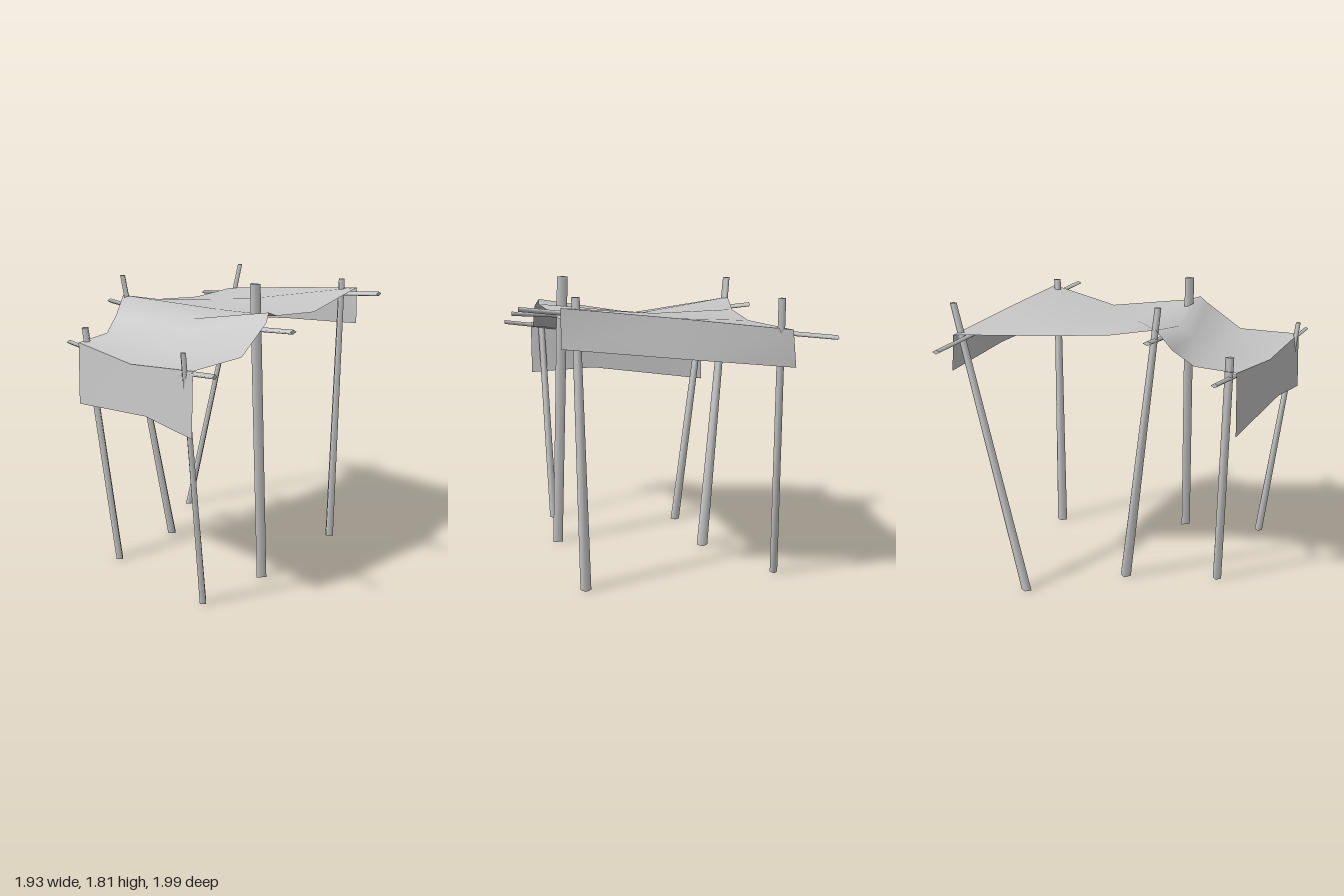
import * as THREE from 'three';

const grey = new THREE.MeshStandardMaterial({ color: 0xcccccc });
grey.name = 'weathered grey';
const cloth = new THREE.MeshStandardMaterial({ color: 0xc8c8c8, side: THREE.DoubleSide });
cloth.name = 'canvas grey';

function buildGeometry(positions, index) {
  const g = new THREE.BufferGeometry();
  g.setAttribute('position', new THREE.Float32BufferAttribute(positions, 3));
  g.setIndex(index);
  g.computeVertexNormals();
  return g;
}

// Few-sided tapered stick along a path; rings lie in the xz plane (upright) or the xy plane.
// Each path entry is [x, y, z, halfWidth, halfDepth].
function stick(name, path, upright, sides = 4, turn = 0) {
  const pos = [], idx = [];
  const ring = ([x, y, z, a, b]) => {
    for (let i = 0; i < sides; i++) {
      const t = turn + (i / sides) * Math.PI * 2;
      const u = a * Math.cos(t), v = b * Math.sin(t);
      pos.push(x + u, upright ? y : y + v, upright ? z - v : z);
    }
  };
  path.forEach(ring);
  for (let r = 0; r < path.length - 1; r++) {
    for (let i = 0; i < sides; i++) {
      const a = r * sides + i, b = r * sides + (i + 1) % sides;
      idx.push(a, b, b + sides, a, b + sides, a + sides);
    }
  }
  // Separate end caps keep the rims crisp
  const base = path.length * sides;
  ring(path[0]);
  ring(path[path.length - 1]);
  for (let i = 1; i < sides - 1; i++) {
    idx.push(base, base + i + 1, base + i);
    idx.push(base + sides, base + sides + i, base + sides + i + 1);
  }
  const mesh = new THREE.Mesh(buildGeometry(pos, idx), grey);
  mesh.name = name;
  return mesh;
}

// Cloth sheet through rows of points
function sheet(name, rows) {
  const n = rows[0].length, idx = [];
  for (let r = 0; r < rows.length - 1; r++) {
    for (let c = 0; c < n - 1; c++) {
      const a = r * n + c, b = a + n;
      idx.push(a, b + 1, b, a, a + 1, b + 1);
    }
  }
  const mesh = new THREE.Mesh(buildGeometry(rows.flat(2), idx), cloth);
  mesh.name = name;
  return mesh;
}

export function createModel() {
  const model = new THREE.Group();
  model.name = 'canvasShelter';

  // Leaning posts, foot to tip
  const posts = {
    rightFrontPost: [[-0.725, 0, 0.66, 0.026, 0.026], [-0.935, 1.51, 0.73, 0.016, 0.022]],
    rightBackPost: [[-0.62, 0, -0.23, 0.027, 0.03], [-0.705, 1.5, -0.42, 0.026, 0.022]],
    middleBackPost: [[-0.045, 0, -0.36, 0.034, 0.036], [-0.3, 1.79, -0.535, 0.02, 0.022]],
    leftFrontPost: [[0.7, 0, 0.44, 0.035, 0.033], [0.713, 1.77, 0.475, 0.024, 0.024]],
    leftBackPost: [[0.485, 0, -0.75, 0.033, 0.024], [0.937, 1.78, -0.665, 0.023, 0.021]],
  };
  for (const [name, path] of Object.entries(posts)) model.add(stick(name, path, true));
  model.add(stick('middleFrontPost',
    [[-0.19, 0, 0.62, 0.035, 0.037], [-0.207, 1.81, 0.557, 0.036, 0.04]], true, 3, Math.PI));

  // Cross poles carrying the cloth, front to back
  const poles = {
    rightPole: [[-0.953, 1.42, 0.99, 0.017, 0.014], [-0.8, 1.345, 0.15, 0.02, 0.015], [-0.665, 1.38, -0.64, 0.022, 0.014]],
    middlePole: [[-0.24, 1.565, 0.895, 0.026, 0.014], [-0.26, 1.53, 0.1, 0.027, 0.015], [-0.282, 1.61, -0.69, 0.028, 0.014]],
    leftPole: [[0.68, 1.7, 0.8, 0.024, 0.014], [0.785, 1.625, -0.1, 0.025, 0.014], [0.89, 1.55, -1, 0.026, 0.013]],
  };
  for (const [name, path] of Object.entries(poles)) {
    model.add(stick(name, path.slice().reverse(), false));
  }

  // Roof cloth: back, middle and front rows
  const back = [[-0.75, 1.41, -0.43], [-0.5, 1.44, -0.46], [-0.38, 1.54, -0.51], [-0.29, 1.66, -0.545],
    [0, 1.61, -0.53], [0.4, 1.59, -0.57], [0.91, 1.6, -0.74]];
  const middle = [[-0.84, 1.365, 0.18], [-0.52, 1.41, 0.15], [-0.35, 1.5, 0.1], [-0.26, 1.565, 0.1],
    [0, 1.595, 0.05], [0.33, 1.63, 0], [0.84, 1.66, -0.1]];
  const front = [[-0.93, 1.42, 0.8], [-0.53, 1.44, 0.77], [-0.3, 1.61, 0.745], [-0.25, 1.66, 0.715],
    [-0.18, 1.635, 0.715], [0.33, 1.595, 0.565], [0.765, 1.715, 0.56]];
  model.add(sheet('roofCloth', [back, middle, front]));

  // Hanging side flaps
  model.add(sheet('rightFlap', [
    [front[0], middle[0], back[0]],
    [[-0.94, 1.05, 0.8], [-0.88, 1.09, 0.35], [-0.755, 1.02, -0.43]],
  ]));
  model.add(sheet('leftFlap', [
    [back[6], middle[6], front[6]],
    [[0.915, 1.385, -0.76], [0.88, 1.435, -0.12], [0.77, 1.48, 0.56]],
  ]));
  return model;
}
